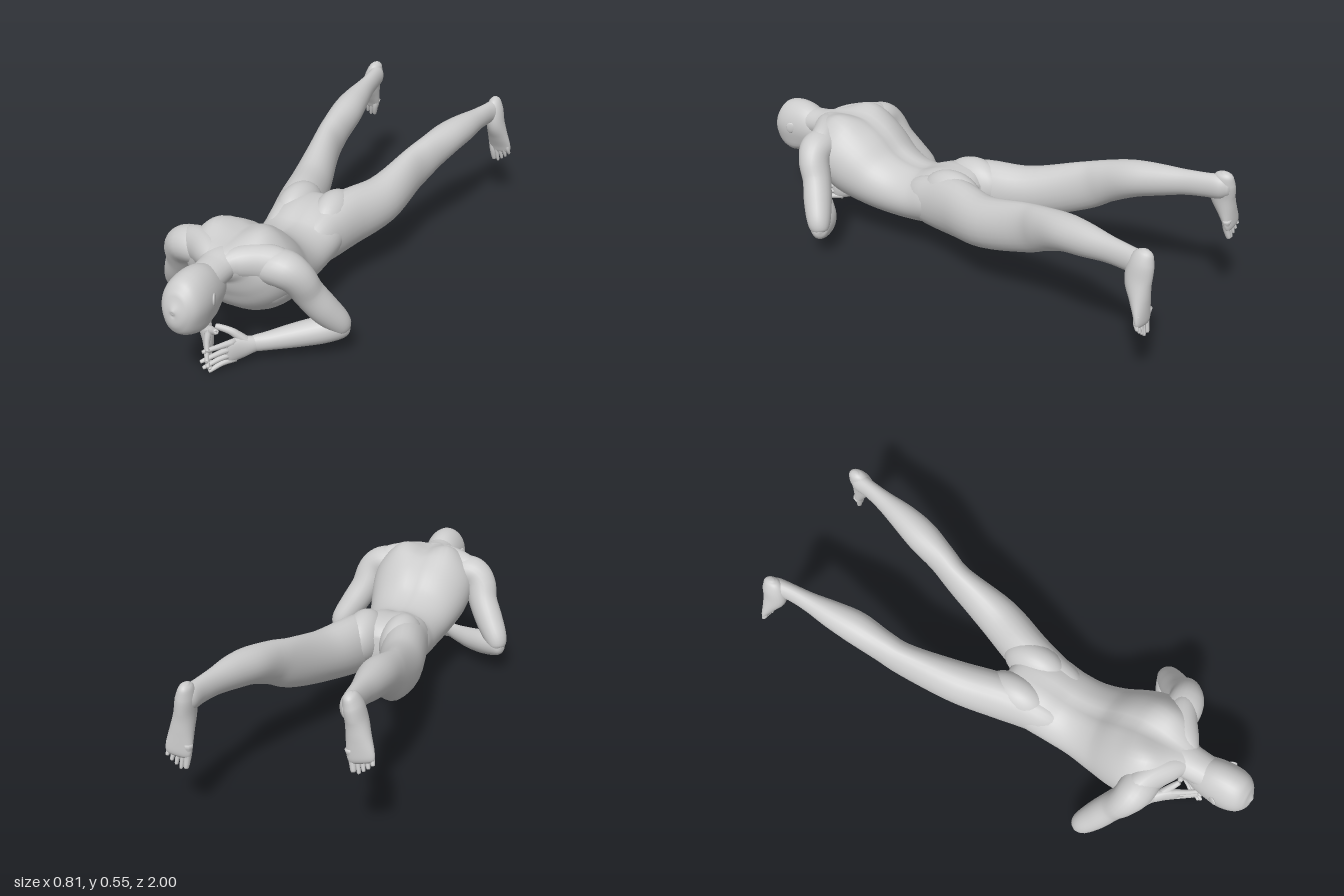
import * as THREE from 'three';

const mat = new THREE.MeshStandardMaterial({ color: 0xcccccc, roughness: 0.8 });
const CX = -0.012; // body midline
const V = (x, y, z) => new THREE.Vector3(x, y, z);
const bump = (d, w) => Math.exp(-((d / w) ** 2));

// Smooth skin over elliptical sections [x, y, z, halfWidth, halfHeight]
function loft(name, secs, { up = V(0, 1, 0), seg = 24, sub = 5, rule } = {}) {
  const path = new THREE.CatmullRomCurve3(secs.map(s => V(s[0], s[1], s[2])), false, 'catmullrom', 0.5);
  const size = new THREE.CatmullRomCurve3(secs.map(s => V(s[3], s[4] ?? s[3], 0)), false, 'catmullrom', 0.5);
  const n = (secs.length - 1) * sub, pos = [], idx = [];
  const add = p => { if (rule) rule(p); pos.push(p.x, p.y, p.z); };
  for (let i = 0; i <= n; i++) {
    const c = path.getPoint(i / n), r = size.getPoint(i / n), T = path.getTangent(i / n);
    const S = up.clone().cross(T).normalize(), N = T.clone().cross(S);
    for (let j = 0; j < seg; j++) {
      const a = j / seg * Math.PI * 2;
      add(c.clone().addScaledVector(S, Math.cos(a) * Math.max(r.x, 0.002)).addScaledVector(N, Math.sin(a) * Math.max(r.y, 0.002)));
      if (i < n) {
        const k = (j + 1) % seg, p = i * seg;
        idx.push(p + j, p + k, p + seg + j, p + k, p + seg + k, p + seg + j);
      }
    }
  }
  const c0 = pos.length / 3;
  add(path.getPoint(0));
  add(path.getPoint(1));
  for (let j = 0; j < seg; j++) {
    const k = (j + 1) % seg;
    idx.push(c0, k, j, c0 + 1, n * seg + j, n * seg + k);
  }
  const g = new THREE.BufferGeometry();
  g.setAttribute('position', new THREE.Float32BufferAttribute(pos, 3));
  g.setIndex(idx);
  g.computeVertexNormals();
  const m = new THREE.Mesh(g, mat);
  m.name = name;
  return m;
}

function ball(name, p, r) {
  const m = new THREE.Mesh(new THREE.SphereGeometry(1, 28, 20), mat);
  m.name = name;
  m.position.set(...p);
  m.scale.set(...r);
  return m;
}

// Thin tapering finger or toe through a few points
function digit(name, pts, r) {
  const last = pts.length - 1;
  const secs = pts.map((p, i) => [...p, r * (1 - 0.45 * i / last)]);
  const [a, b] = [pts[last - 1], pts[last]];
  secs.push([...b.map((v, i) => v + (v - a[i]) * 0.12), r * 0.15]);
  return loft(name, secs, { seg: 10, sub: 3, up: V(0.1, 0.6, 0.8) });
}

function arm(s) {
  const g = new THREE.Group();
  g.name = s > 0 ? 'leftArm' : 'rightArm';
  const X = secs => secs.map(([x, ...r]) => [s * x + CX, ...r]);
  g.add(loft('upperArm', X([
    [0.08, 0.375, 0.615, 0.04, 0.05], [0.14, 0.378, 0.615, 0.062, 0.07], [0.2, 0.375, 0.61, 0.068, 0.07],
    [0.24, 0.34, 0.592, 0.066, 0.06], [0.264, 0.275, 0.56, 0.06, 0.055], [0.303, 0.205, 0.525, 0.057, 0.055],
    [0.342, 0.142, 0.488, 0.047, 0.046], [0.35, 0.105, 0.475, 0.03, 0.032], [0.352, 0.09, 0.47, 0.004, 0.004]
  ]), { up: V(0, 0, 1) }));
  g.add(loft('forearm', X([
    [0.375, 0.125, 0.458, 0.006, 0.01], [0.358, 0.12, 0.472, 0.034, 0.042], [0.3, 0.108, 0.51, 0.048, 0.05],
    [0.22, 0.092, 0.565, 0.044, 0.045], [0.14, 0.079, 0.63, 0.031, 0.035], [0.1, 0.075, 0.665, 0.023, 0.031],
    [0.075, 0.073, 0.69, 0.015, 0.02]
  ])));
  // Flat hand with the thumb side up
  g.add(loft('palm', X([
    [0.13, 0.077, 0.638, 0.018, 0.022], [0.1, 0.074, 0.667, 0.023, 0.032], [0.07, 0.07, 0.7, 0.022, 0.043],
    [0.045, 0.066, 0.738, 0.017, 0.045], [0.034, 0.064, 0.757, 0.006, 0.034]
  ]), { seg: 20 }));
  for (let i = 0; i < 4; i++) {
    const y = 0.1 - i * 0.023, drop = [0, 0.012, 0.018, 0.02][i] + s * 0.004, len = [0.9, 1, 0.9, 0.65][i];
    g.add(digit('finger', X([
      [0.056, y, 0.72], [0.032 - 0.006 * len, y - drop * 0.2, 0.74 + 0.035 * len],
      [0.02 - 0.03 * len, y - drop, 0.745 + 0.085 * len]
    ]), 0.0135));
  }
  const lift = s > 0 ? 0.012 : -0.012;
  g.add(digit('thumb', X([
    [0.09, 0.082, 0.68], [0.06, 0.108 + lift * 0.5, 0.7], [0.035, 0.124 + lift, 0.715], [0.002 - lift, 0.137 + lift, 0.73]
  ]), 0.019));
  return g;
}

function leg(name, secs, heel, toe, s) {
  const g = new THREE.Group();
  g.name = name;
  g.add(loft('legSkin', secs));
  // Foot hangs down from the heel with the sole facing back
  const at = (t, z, w = 0) => [heel[0] + (toe[0] - heel[0]) * t + s * w, heel[1] + (toe[1] - heel[1]) * t, z];
  g.add(loft('foot', [
    [...at(0, -0.962), 0.008, 0.012], [...at(0.05, -0.96), 0.023, 0.032], [...at(0.18, -0.952), 0.034, 0.046],
    [...at(0.38, -0.949), 0.037, 0.048], [...at(0.58, -0.964), 0.043, 0.034],
    [...at(0.75, -0.978), 0.048, 0.021], [...at(0.85, -0.984), 0.045, 0.014], [...at(0.89, -0.985), 0.033, 0.005]
  ], { up: V(0, 0, 1) }));
  for (let i = 0; i < 5; i++) {
    const w = -0.033 + i * 0.0168, tip = [1.01, 1.02, 0.98, 0.94, 0.89][i];
    g.add(digit('toe', [at(0.72, -0.98, w), at(0.86 - i * 0.012, -0.978, w * 1.04), at(tip, -0.988, w * 1.08)], i ? 0.012 : 0.017));
  }
  return g;
}

export function createModel() {
  const g = new THREE.Group();
  g.name = 'plankFigure';

  // Trunk with a spine furrow and raised shoulder blades
  g.add(loft('torso', [
    [CX, 0.265, -0.05, 0.05, 0.05], [CX, 0.262, -0.01, 0.12, 0.1], [CX, 0.25, 0.09, 0.158, 0.12],
    [CX, 0.224, 0.2, 0.157, 0.11], [CX, 0.222, 0.3, 0.16, 0.116], [CX, 0.242, 0.4, 0.18, 0.132],
    [CX, 0.285, 0.5, 0.205, 0.158], [CX, 0.333, 0.58, 0.21, 0.15], [CX, 0.366, 0.64, 0.185, 0.112],
    [CX, 0.388, 0.69, 0.125, 0.074], [CX, 0.394, 0.73, 0.07, 0.05], [CX, 0.39, 0.75, 0.02, 0.02]
  ], {
    seg: 48, rule: p => {
      const dx = Math.abs(p.x - CX), top = THREE.MathUtils.smoothstep(p.y, 0.27, 0.36);
      p.y -= top * 0.014 * bump(dx, 0.025) * bump(p.z - 0.4, 0.3);
      p.y += top * 0.034 * bump(dx - 0.105, 0.065) * bump(p.z - 0.585, 0.095);
      if (p.y < 0.3) p.y += 0.012 * bump(dx, 0.03) * bump(p.z - 0.52, 0.1);
    }
  }));

  for (const s of [1, -1]) {
    g.add(ball('buttock', [CX + s * 0.076, 0.282, 0.025], [0.08, 0.107, 0.135]));
    g.add(ball('chestMuscle', [CX + s * 0.085, 0.285, 0.56], [0.115, 0.1, 0.1]));
    // Slope from neck to shoulder
    g.add(loft('shoulderSlope', [
      [CX + s * 0.01, 0.39, 0.75, 0.02, 0.03], [CX + s * 0.05, 0.4, 0.69, 0.05, 0.056],
      [CX + s * 0.11, 0.395, 0.64, 0.058, 0.068], [CX + s * 0.17, 0.38, 0.61, 0.055, 0.07], [CX + s * 0.22, 0.365, 0.6, 0.03, 0.05]
    ]));
    g.add(arm(s));
  }
  g.add(ball('groin', [CX, 0.175, 0.0], [0.04, 0.035, 0.07]));

  // Neck and downward-facing head
  g.add(loft('neck', [
    [CX, 0.36, 0.6, 0.06, 0.05], [CX, 0.393, 0.68, 0.074, 0.058], [CX, 0.386, 0.75, 0.066, 0.056], [CX, 0.375, 0.83, 0.062, 0.06]
  ]));
  g.add(loft('head', [
    [CX, 0.298, 0.737, 0.02, 0.02], [CX, 0.308, 0.752, 0.047, 0.055], [CX, 0.33, 0.79, 0.068, 0.09],
    [CX, 0.342, 0.85, 0.08, 0.111], [CX, 0.342, 0.91, 0.083, 0.112], [CX, 0.342, 0.955, 0.073, 0.096],
    [CX, 0.344, 0.983, 0.05, 0.066], [CX, 0.346, 0.997, 0.019, 0.025], [CX, 0.346, 1.0, 0.003, 0.003]
  ], {
    seg: 36, rule: p => {
      // Broad brow, with shallow eye sockets
      const dx = p.x - CX, low = THREE.MathUtils.smoothstep(0.38 - p.y, 0, 0.15);
      p.x = CX + dx * (1 - 0.05 * bump(p.y - 0.3, 0.04) + 0.12 * bump(p.y - 0.245, 0.03));
      p.y += low * 0.014 * bump(Math.abs(dx) - 0.032, 0.018) * bump(p.z - 0.862, 0.022);
    }
  }));
  g.add(loft('nose', [
    [CX, 0.25, 0.88, 0.007, 0.008], [CX, 0.243, 0.845, 0.01, 0.012], [CX, 0.24, 0.822, 0.015, 0.012], [CX, 0.25, 0.81, 0.01, 0.008]
  ], { seg: 14 }));
  g.add(ball('lips', [CX, 0.247, 0.785], [0.024, 0.007, 0.012]));
  for (const s of [1, -1]) {
    const ear = ball('ear', [CX + s * 0.081, 0.358, 0.872], [0.006, 0.023, 0.02]);
    ear.rotation.y = s * 0.45;
    g.add(ear);
  }

  // Legs spread apart, the right one held higher
  g.add(leg('leftLeg', [
    [0.062, 0.228, 0.26, 0.03, 0.05], [0.068, 0.238, 0.17, 0.066, 0.092], [0.077, 0.248, 0.08, 0.077, 0.11],
    [0.098, 0.264, -0.03, 0.086, 0.117], [0.158, 0.282, -0.2, 0.083, 0.102], [0.195, 0.338, -0.4, 0.056, 0.095],
    [0.226, 0.377, -0.5, 0.056, 0.082], [0.257, 0.41, -0.61, 0.064, 0.069], [0.283, 0.423, -0.71, 0.055, 0.061],
    [0.303, 0.429, -0.81, 0.039, 0.049], [0.318, 0.43, -0.89, 0.032, 0.046], [0.328, 0.428, -0.95, 0.033, 0.045],
    [0.33, 0.428, -0.985, 0.015, 0.025]
  ], [0.328, 0.488], [0.368, 0.193], 1));
  g.add(leg('rightLeg', [
    [-0.086, 0.228, 0.26, 0.03, 0.05], [-0.092, 0.238, 0.17, 0.066, 0.092], [-0.1, 0.248, 0.08, 0.077, 0.11],
    [-0.116, 0.264, -0.03, 0.086, 0.117], [-0.157, 0.285, -0.2, 0.08, 0.102], [-0.2, 0.35, -0.4, 0.059, 0.095],
    [-0.208, 0.395, -0.5, 0.058, 0.082], [-0.209, 0.437, -0.61, 0.063, 0.071], [-0.216, 0.458, -0.71, 0.053, 0.061],
    [-0.222, 0.475, -0.81, 0.037, 0.049], [-0.227, 0.485, -0.89, 0.031, 0.046], [-0.236, 0.489, -0.95, 0.032, 0.045],
    [-0.24, 0.489, -0.985, 0.015, 0.025]
  ], [-0.238, 0.547], [-0.296, 0.29], -1));
  return g;
}
